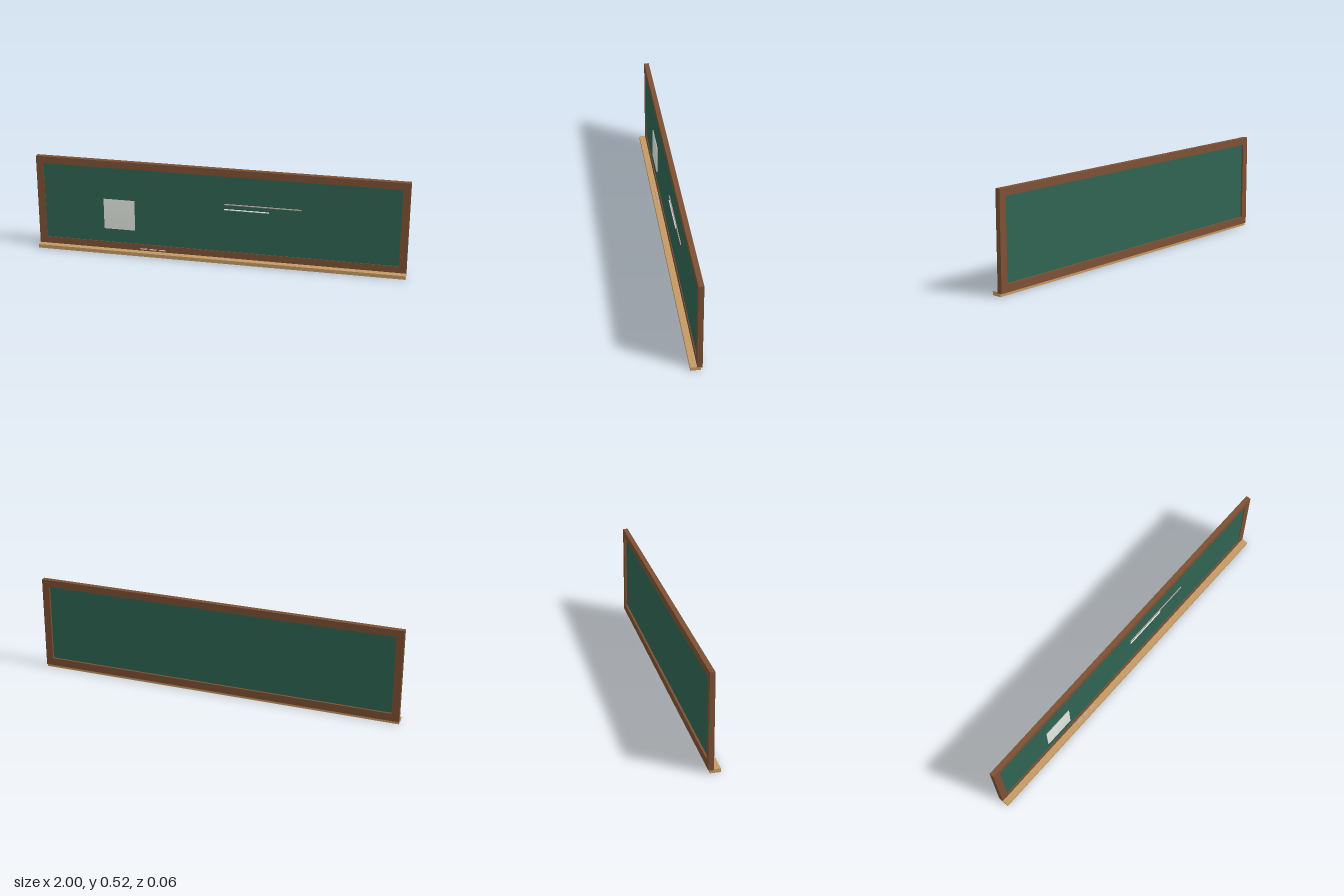
import * as THREE from 'three';
import { mergeVertices } from 'three/addons/utils/BufferGeometryUtils.js';

export function createModel() {
  const model = new THREE.Group();
  model.name = 'chalkboard';

  const mat = (color) => new THREE.MeshStandardMaterial({ color });
  const add = (name, geometry, material, x, y, z) => {
    const mesh = new THREE.Mesh(geometry, material);
    mesh.name = name;
    mesh.position.set(x, y, z);
    model.add(mesh);
    return mesh;
  };
  const rect = (path, x0, y0, x1, y1) =>
    path.moveTo(x0, y0).lineTo(x1, y0).lineTo(x1, y1).lineTo(x0, y1).closePath();

  // Wooden frame with a rectangular opening
  const outline = rect(new THREE.Shape(), -1, 0.015, 1, 0.523);
  outline.holes.push(rect(new THREE.Path(), -0.96, 0.057, 0.96, 0.484));
  const frame = new THREE.ExtrudeGeometry(outline, { depth: 0.0265, bevelEnabled: false });
  add('frame', frame, mat(0x7d5134), 0, 0, -0.03);

  // Writing panel, recessed on both faces
  add('writingPanel', new THREE.BoxGeometry(1.93, 0.437, 0.012), mat(0x2f6553), 0, 0.2705, -0.013);

  // Chalk tray along the bottom
  add('chalkTray', new THREE.BoxGeometry(2, 0.02, 0.053), mat(0xc49a64), 0, 0.01, 0.0035);

  // Paper note: a thin slab with soft, shared corner normals
  const slab = new THREE.BoxGeometry(0.17, 0.17, 0.006);
  slab.deleteAttribute('normal');
  slab.deleteAttribute('uv');
  const soft = mergeVertices(slab);
  soft.computeVertexNormals();
  add('paperNote', soft, mat(0xe4ebe4), -0.545, 0.22, -0.0045);

  // Horizontal rods: two marks on the panel and three chalk sticks over the tray
  const rod = (name, x0, x1, y, z, radius, color) => {
    const geometry = new THREE.CylinderGeometry(radius, radius, x1 - x0, 10);
    add(name, geometry, mat(color), (x0 + x1) / 2, y, z).rotation.z = Math.PI / 2;
  };
  rod('longChalkLine', 0.03, 0.44, 0.327, -0.005, 0.0035, 0xb8a09c);
  rod('shortChalkLine', 0.03, 0.27, 0.298, -0.005, 0.0035, 0xe4ebe4);
  for (let i = 0; i < 3; i++) {
    const x = -0.427 + i * 0.051;
    rod('chalkStick' + (i + 1), x, x + 0.036, 0.036, 0.011, 0.004, 0xc8aaa5);
  }

  return model;
}
